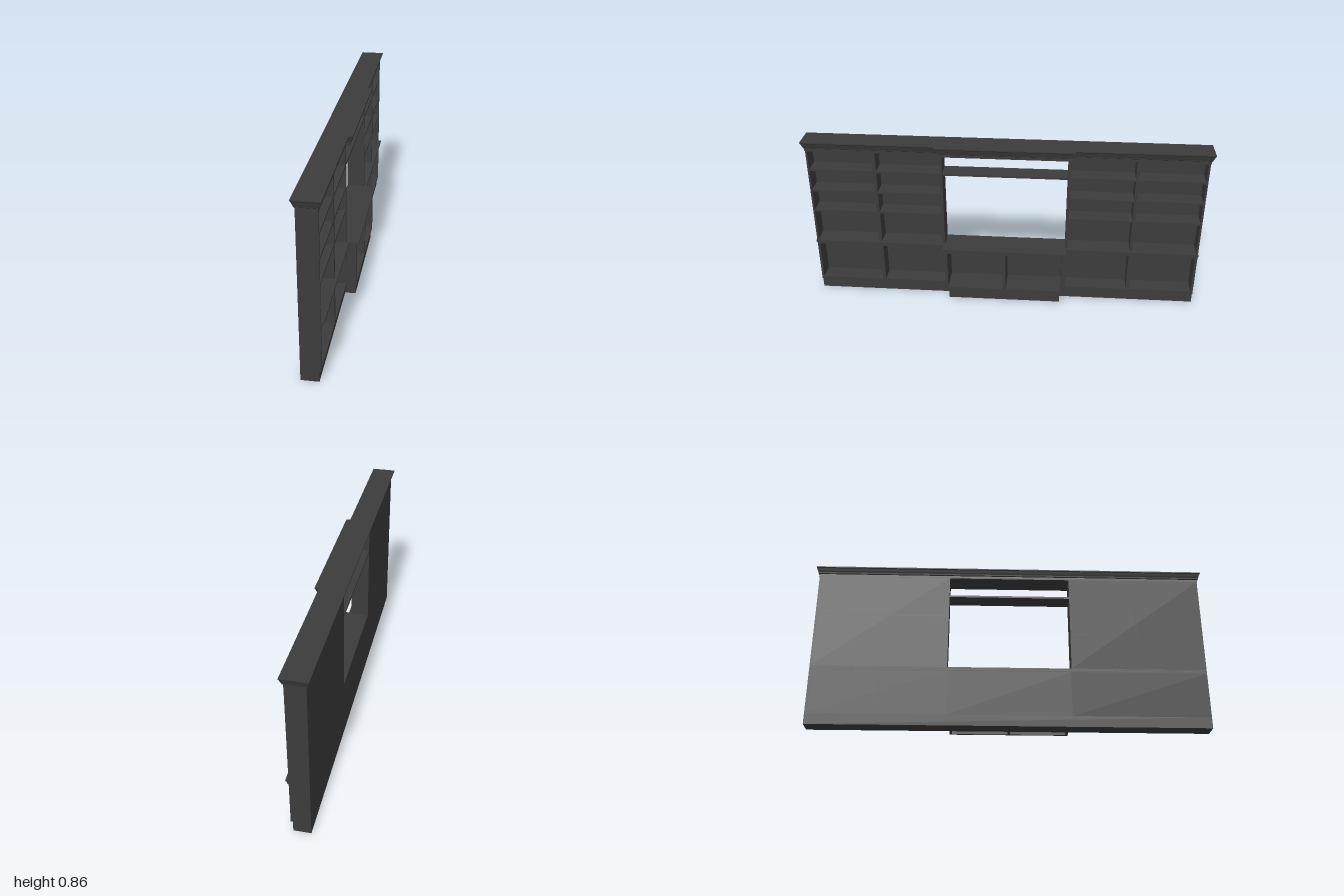
import * as THREE from 'three';

const material = new THREE.MeshStandardMaterial({ color: 0x3c3c3c });

const BACK = -0.07, FRONT = 0.022, END = 0.982;

export function createModel() {
  const root = new THREE.Group();
  let group = root;

  const section = (name) => {
    group = new THREE.Group();
    group.name = name;
    root.add(group);
  };
  const add = (name, geometry) => {
    const mesh = new THREE.Mesh(geometry, material);
    mesh.name = name;
    group.add(mesh);
  };
  // Box given by its limits on each axis
  const box = (name, x0, x1, y0, y1, z0, z1) => {
    const g = new THREE.BoxGeometry(x1 - x0, y1 - y0, z1 - z0);
    g.translate((x0 + x1) / 2, (y0 + y1) / 2, (z0 + z1) / 2);
    add(name, g);
  };
  // Moulding: rectangular rings that grow outwards by [offset, height]
  const moulding = (name, x0, x1, halfZ, profile) => {
    const pos = [], index = [];
    for (const [o, y] of profile) {
      pos.push(x0 - o, y, halfZ + o, x1 + o, y, halfZ + o,
        x1 + o, y, -halfZ - o, x0 - o, y, -halfZ - o);
    }
    for (let r = 0; r < profile.length - 1; r++) {
      for (let k = 0; k < 4; k++) {
        const a = r * 4 + k, b = r * 4 + (k + 1) % 4;
        index.push(a, b, b + 4, a, b + 4, a + 4);
      }
    }
    const t = (profile.length - 1) * 4;
    index.push(t, t + 1, t + 2, t, t + 2, t + 3, 0, 2, 1, 0, 3, 2);
    const indexed = new THREE.BufferGeometry();
    indexed.setAttribute('position', new THREE.Float32BufferAttribute(pos, 3));
    indexed.setIndex(index);
    const g = indexed.toNonIndexed();
    g.computeVertexNormals();
    add(name, g);
  };
  // Open cabinet with two bays: sides, divider, back, floor and top
  const cabinet = (z0, z1, front) => {
    const mid = (z0 + z1) / 2, y0 = 0.055, y1 = 0.286, t = 0.012;
    box('cabinetBack', BACK, BACK + 0.005, y0, y1, z0, z1);
    box('cabinetFloor', BACK, front, y0, 0.07, z0, z1);
    box('cabinetTop', BACK, front, 0.276, y1, z0, z1);
    box('cabinetSide', BACK, front, y0, y1, z0, z0 + t);
    box('cabinetSide', BACK, front, y0, y1, z1 - t, z1);
    box('cabinetDivider', BACK, front, y0, y1, mid - 0.009, mid + 0.009);
  };

  // Plinth, with a hollow toe kick under the projecting middle
  section('plinth');
  box('plinthBase', BACK, 0.012, 0, 0.056, -END, END);
  box('toeKickBoard', 0.054, 0.064, 0, 0.056, -0.29, 0.29);
  for (const z of [-0.284, 0, 0.284]) {
    box('toeKickRib', 0.012, 0.055, 0, 0.056, z - 0.006, z + 0.006);
  }

  section('baseCabinets');
  cabinet(-0.305, 0.305, 0.071);
  cabinet(0.305, END, FRONT);
  cabinet(-END, -0.305, FRONT);

  // Two-step counter with a deeper middle
  section('counter');
  box('counterLowerStep', BACK, 0.028, 0.285, 0.296, -END, END);
  box('counterSlab', BACK, 0.036, 0.296, 0.305, -END, END);
  box('middleCounterLowerStep', BACK, 0.076, 0.285, 0.296, -0.309, 0.309);
  box('middleCounterSlab', BACK, 0.083, 0.296, 0.305, -0.315, 0.315);

  // Bookcases on both sides of the opening
  for (const s of [1, -1]) {
    section(s > 0 ? 'leftBookcase' : 'rightBookcase');
    const span = (name, x1, y0, y1, a, b) =>
      box(name, BACK, x1, y0, y1, Math.min(s * a, s * b), Math.max(s * a, s * b));
    span('bookcaseBack', BACK + 0.005, 0.305, 0.81, 0.308, END);
    span('innerSide', FRONT, 0.305, 0.81, 0.308, 0.323);
    span('divider', FRONT, 0.305, 0.81, 0.637, 0.653);
    span('outerSide', FRONT, 0.305, 0.81, 0.973, END);
    for (const y of [0.474, 0.589, 0.704]) {
      span('shelf', FRONT - 0.002, y - 0.005, y + 0.005, 0.32, 0.975);
    }
  }

  section('bridge');
  box('bridgeShelf', BACK, FRONT - 0.002, 0.698, 0.708, -0.31, 0.31);

  // Crown moulding, stepping forward in the middle
  section('crown');
  const profile = [[0, 0.808], [0, 0.822], [0.004, 0.825], [0.005, 0.831],
    [0.008, 0.838], [0.012, 0.851], [0.015, 0.855], [0.015, 0.86]];
  moulding('crownMoulding', BACK, FRONT, 0.985, profile);
  moulding('middleCrownMoulding', BACK, 0.042, 0.325, profile);

  return root;
}
